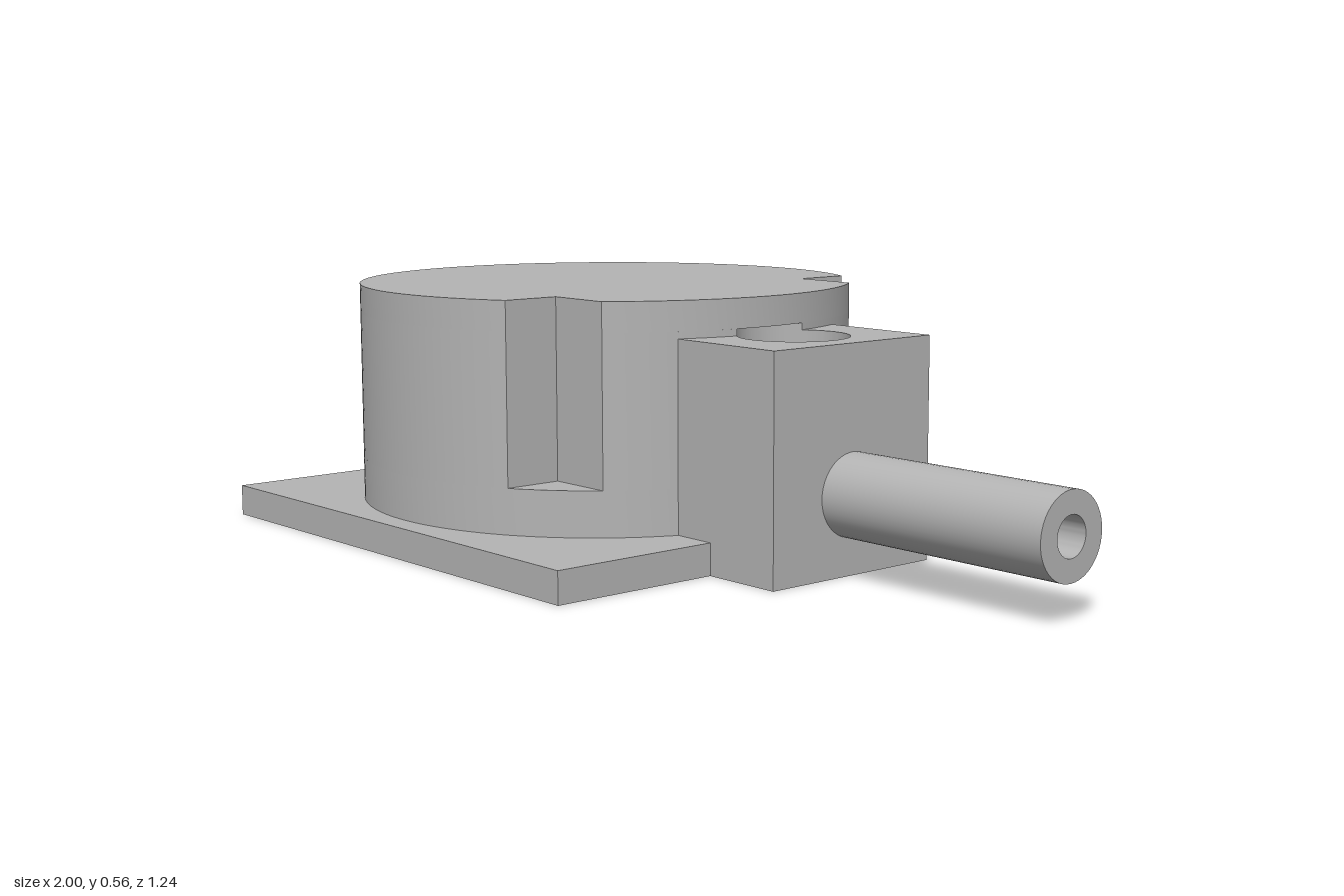
import * as THREE from 'three';
import { toCreasedNormals } from 'three/addons/utils/BufferGeometryUtils.js';

const DRUM = { x: -0.38, r: 0.565, y0: 0.07, y1: 0.565 };
const WELL = { x: 0.25, r: 0.12, top: 0.5 };
const NOTCH = { x: -0.1, z: 0.36, floor: 0.17 };
const POCKET = { y: 0.33, r: 0.2, floor: -0.83, pinR: 0.026, back: -0.7 };
const SHAFT = { y: 0.17, r: 0.09, bore: 0.042 };
const SPREAD = Math.acos((DRUM.x - POCKET.back) / DRUM.r); // half angle of the pocketed wall

export function createModel() {
  const model = new THREE.Group();
  const gray = new THREE.MeshStandardMaterial({ color: 0xb4b4b4 });
  gray.name = 'machined gray';

  const add = (name, geometry, parent = model) => {
    const mesh = new THREE.Mesh(geometry, gray);
    mesh.name = name;
    parent.add(mesh);
    return mesh;
  };
  const group = (name) => {
    const g = new THREE.Group();
    g.name = name;
    model.add(g);
    return g;
  };
  // Horizontal outline raised from y0 to y1
  const slab = (shape, y0, y1) => {
    const g = new THREE.ExtrudeGeometry(shape, { depth: y1 - y0, bevelEnabled: false, curveSegments: 48 });
    g.rotateX(-Math.PI / 2).translate(0, y0, 0);
    return toCreasedNormals(g, 0.5);
  };
  const arc = (cx, r, a0, a1, n) => Array.from({ length: n + 1 }, (_, i) => {
    const a = a0 + ((a1 - a0) * i) / n;
    return new THREE.Vector2(cx + r * Math.cos(a), r * Math.sin(a));
  });
  const box = (x0, x1, y0, y1, depth) =>
    new THREE.BoxGeometry(x1 - x0, y1 - y0, depth).translate((x0 + x1) / 2, (y0 + y1) / 2, 0);

  // Base plate
  add('basePlate', box(-1, 0.24, 0, 0.07, 1.24));

  // Drum outline: one half is traced, then mirrored
  const drumOutline = (notched, bitten) => {
    const half = [];
    let start = 0;
    if (bitten) {
      const d = WELL.x - DRUM.x;
      const a = (DRUM.r ** 2 - WELL.r ** 2 + d * d) / (2 * d);
      const h = Math.sqrt(DRUM.r ** 2 - a * a);
      start = Math.atan2(h, a);
      half.push(...arc(WELL.x, WELL.r, Math.PI, Math.atan2(h, a - d), 10).slice(0, -1));
    }
    const end = Math.PI - SPREAD;
    if (notched) {
      half.push(...arc(DRUM.x, DRUM.r, start, Math.asin(NOTCH.z / DRUM.r), 16));
      half.push(new THREE.Vector2(NOTCH.x, NOTCH.z));
      half.push(...arc(DRUM.x, DRUM.r, Math.acos((NOTCH.x - DRUM.x) / DRUM.r), end, 30));
    } else {
      half.push(...arc(DRUM.x, DRUM.r, start, end, 50));
    }
    const mirrored = half.slice(1).reverse().map((p) => new THREE.Vector2(p.x, -p.y));
    return new THREE.Shape([...half, ...mirrored]);
  };
  const drum = group('drum');
  add('drumFoot', slab(drumOutline(false, true), DRUM.y0, NOTCH.floor), drum);
  add('drumNotchedBody', slab(drumOutline(true, true), NOTCH.floor, WELL.top), drum);
  add('drumTop', slab(drumOutline(true, false), WELL.top, DRUM.y1), drum);
  const cap = new THREE.ShapeGeometry(
    new THREE.Shape(arc(DRUM.x, DRUM.r, Math.PI - SPREAD, Math.PI + SPREAD, 40)));
  add('drumTopEdge', cap.rotateX(-Math.PI / 2).translate(0, DRUM.y1, 0), drum);

  // Drum wall with round pocket: rows run from the pin hole out to the wall's border
  const onDrum = (angle, y) => [DRUM.x - DRUM.r * Math.cos(angle), y, DRUM.r * Math.sin(angle)];
  const rings = 10;
  const rows = [
    (c, s) => [POCKET.back, POCKET.y + POCKET.pinR * s, POCKET.pinR * c],
    (c, s) => [POCKET.floor, POCKET.y + POCKET.pinR * s, POCKET.pinR * c],
    (c, s) => [POCKET.floor, POCKET.y + POCKET.r * s, POCKET.r * c],
  ];
  for (let i = 0; i <= rings; i++) {
    const k = i / rings;
    rows.push((c, s) => {
      const m = Math.max(Math.abs(c), Math.abs(s));
      const reach = s > 0 ? DRUM.y1 - POCKET.y : POCKET.y - DRUM.y0;
      const angle = THREE.MathUtils.lerp(Math.asin((POCKET.r * c) / DRUM.r), (SPREAD * c) / m, k);
      const y = THREE.MathUtils.lerp(POCKET.r * s, (reach * s) / m, k);
      return onDrum(angle, POCKET.y + y);
    });
  }
  const n = 96, positions = [], index = [];
  rows.forEach((row, v) => {
    for (let i = 0; i < n; i++) {
      const t = (i / n) * Math.PI * 2;
      positions.push(...row(Math.cos(t), Math.sin(t)));
      if (v === 0) continue;
      const j = (i + 1) % n, a = (v - 1) * n, b = v * n;
      index.push(a + i, b + i, b + j, a + i, b + j, a + j);
    }
  });
  const wall = new THREE.BufferGeometry();
  wall.setAttribute('position', new THREE.Float32BufferAttribute(positions, 3));
  wall.setIndex(index);
  add('drumPocketWall', toCreasedNormals(wall, 0.5), drum);

  // Side block with a vertical well, open towards the bore at shaft height
  const x0 = 0.1, x1 = 0.43, w = 0.225;
  const ringShape = new THREE.Shape([[x0, -w], [x1, -w], [x1, w], [x0, w]].map((p) => new THREE.Vector2(...p)));
  ringShape.holes.push(new THREE.Path().absarc(WELL.x, 0, WELL.r, 0, Math.PI * 2, true));
  const open = Math.asin(SHAFT.bore / WELL.r);
  const slotShape = new THREE.Shape([
    new THREE.Vector2(x1, SHAFT.bore), new THREE.Vector2(x1, w), new THREE.Vector2(x0, w),
    new THREE.Vector2(x0, -w), new THREE.Vector2(x1, -w), new THREE.Vector2(x1, -SHAFT.bore),
    ...arc(WELL.x, WELL.r, Math.PI * 2 - open, open, 60),
  ]);
  const low = SHAFT.y - SHAFT.bore, high = SHAFT.y + SHAFT.bore;
  const block = group('sideBlock');
  add('blockFloor', box(0.24, x1, 0, 0.07, 2 * w), block);
  add('blockLower', slab(ringShape, 0.07, low), block);
  add('blockBoreLevel', slab(slotShape, low, high), block);
  add('blockUpper', slab(ringShape, high, 0.485), block);

  // Hollow shaft, its inner end set into the block
  const s0 = WELL.x + WELL.r * Math.cos(open);
  const profile = [
    [SHAFT.bore, s0], [SHAFT.r, s0], [SHAFT.r, 1], [SHAFT.bore, 1], [SHAFT.bore, s0],
  ].map((p) => new THREE.Vector2(...p));
  const tube = new THREE.LatheGeometry(profile, 48).rotateZ(-Math.PI / 2).translate(0, SHAFT.y, 0);
  add('hollowShaft', toCreasedNormals(tube, 0.5));

  return model;
}
